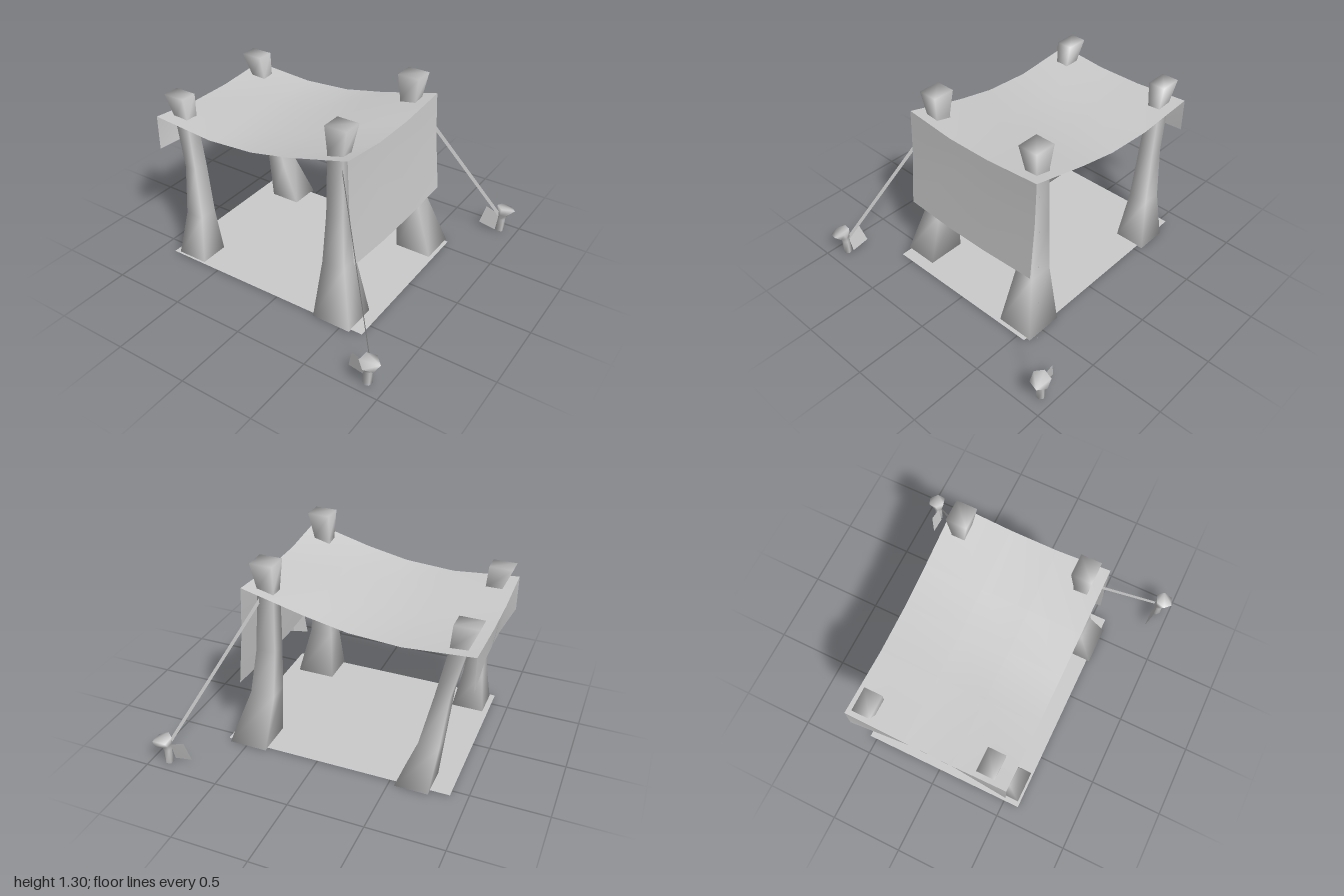
import * as THREE from 'three';

const canvasGrey = new THREE.MeshStandardMaterial({ color: 0xcccccc, side: THREE.DoubleSide });
canvasGrey.name = 'plain grey';

function build(name, points, index) {
  const g = new THREE.BufferGeometry();
  g.setAttribute('position', new THREE.Float32BufferAttribute(points.flat(), 3));
  g.setIndex(index);
  g.computeVertexNormals();
  const mesh = new THREE.Mesh(g, canvasGrey);
  mesh.name = name;
  return mesh;
}

// Closed solid through rings listed from bottom to top, counterclockwise from above
function loft(name, rings) {
  const n = rings[0].length, last = (rings.length - 1) * n, index = [];
  for (let i = 0; i < rings.length - 1; i++) {
    for (let j = 0; j < n; j++) {
      const a = i * n + j, b = i * n + (j + 1) % n;
      index.push(a, b, b + n, a, b + n, a + n);
    }
  }
  for (let j = 1; j < n - 1; j++) {
    index.push(0, j + 1, j, last, last + j, last + j + 1);
  }
  return build(name, rings.flat(), index);
}

// Open sheet through rows of points
function sheet(name, rows) {
  const n = rows[0].length, index = [];
  for (let i = 0; i < rows.length - 1; i++) {
    for (let j = 0; j < n - 1; j++) {
      const a = i * n + j;
      index.push(a, a + 1, a + n + 1, a, a + n + 1, a + n);
    }
  }
  return build(name, rows.flat(), index);
}

// Four-sided post; each level is [y, xMin, xMax, zMin, zMax]
const post = (name, levels) => loft(name, levels.map(([y, x0, x1, z0, z1]) =>
  [[x0, y, z1], [x1, y, z1], [x1, y, z0], [x0, y, z0]]));

// Flared six-sided peg leaning outwards
function stake(side) {
  const levels = [[0, 0.029, 0.885, 0.915, 0], [0.1, 0.027, 0.888, 0.915, 0],
    [0.135, 0.036, 0.893, 0.92, 0.15], [0.182, 0.064, 0.908, 0.935, 0.22]];
  return loft('stake', levels.map(([y, r, cx, cz, tilt]) =>
    Array.from({ length: 6 }, (_, k) => {
      const a = k * Math.PI / 3 + 0.35;
      const dx = r * Math.cos(a), dz = -r * Math.sin(a);
      return [cx + dx, y - tilt * (dx + side * dz), side * cz + dz];
    })));
}

export function createModel() {
  const model = new THREE.Group();
  model.name = 'canopyShelter';

  // Ground sheet
  model.add(sheet('groundSheet', [
    [[-0.885, 0.005, 0.605], [0.65, 0.005, 0.6]],
    [[-0.89, 0.005, -0.55], [0.645, 0.005, -0.56]],
  ]));

  // Posts
  model.add(post('leftFrontPost', [
    [0, -0.85, -0.63, 0.38, 0.59], [0.3, -0.825, -0.69, 0.38, 0.51],
    [0.65, -0.825, -0.74, 0.37, 0.48], [0.98, -0.9, -0.795, 0.365, 0.455],
    [1.14, -0.965, -0.81, 0.35, 0.465]]));
  model.add(post('leftBackPost', [
    [0, -0.76, -0.54, -0.59, -0.37], [0.3, -0.79, -0.655, -0.51, -0.37],
    [0.65, -0.825, -0.73, -0.47, -0.36], [0.98, -0.9, -0.795, -0.445, -0.355],
    [1.14, -0.965, -0.81, -0.455, -0.335]]));
  model.add(post('rightFrontPost', [
    [0, 0.3, 0.57, 0.38, 0.62], [0.37, 0.305, 0.465, 0.385, 0.52],
    [0.7, 0.31, 0.43, 0.385, 0.485], [1.12, 0.31, 0.42, 0.385, 0.475],
    [1.3, 0.3, 0.45, 0.355, 0.49]]));
  model.add(post('rightBackPost', [
    [0, 0.36, 0.62, -0.585, -0.325], [0.37, 0.33, 0.495, -0.485, -0.35],
    [0.7, 0.315, 0.445, -0.465, -0.36], [1.12, 0.31, 0.42, -0.455, -0.365],
    [1.3, 0.3, 0.45, -0.48, -0.34]]));

  // Canopy: sagging in the middle, with corners pulled up; columns run front to back
  const zs = [0.545, 0.19, -0.13, -0.522];
  const lift = [1, 0, 0, 0.8];
  const spans = [[-0.975, 0.975, 0.035], [-0.53, 0.97, 0], [-0.2, 0.99, 0],
    [0.08, 1.045, 0], [0.495, 1.115, 0.04]];
  model.add(sheet('canopy', spans.map(([x, y, up]) =>
    zs.map((z, j) => [x, y + up * lift[j], z]).reverse()).reverse()));

  // Long side curtain
  model.add(sheet('sideCurtain', [
    zs.map((z, j) => [0.495, 1.115 + 0.04 * lift[j], z]),
    zs.map((z) => [0.51, 0.85, z]),
    zs.map((z, j) => [0.55, 0.432 + 0.023 * lift[j], z]),
  ].reverse()));

  // Short valance in two halves with a slit between them
  const valance = (name, ends) => sheet(name, [
    ends.map(([z, up]) => [-0.975, 0.975 + 0.035 * up, z]),
    ends.map(([z, up, gap]) => [up ? -0.975 : -0.945, 0.77, z + gap]),
  ]);
  model.add(valance('frontValance', [[0.02, 0, 0.015], [0.19, 0, 0], [0.545, 1, 0]]));
  model.add(valance('backValance', [[-0.522, 0.8, 0], [-0.13, 0, 0], [0.02, 0, -0.015]]));

  for (const s of [1, -1]) {
    // Peg with its small tag
    model.add(stake(s));
    model.add(sheet('stakeTag', [
      [[0.735, 0.03, s * 0.882], [0.86, 0.008, s * 0.882]],
      [[0.77, 0.165, s * 0.905], [0.87, 0.13, s * 0.905]],
    ]));
    // Flat guy rope from post to peg
    const w = 0.02;
    model.add(sheet('guyRope', [
      [[0.405, 1.05 - w, s * 0.465], [0.875, 0.15 - w, s * 0.88]],
      [[0.405, 1.05 + w, s * 0.465], [0.875, 0.15 + w, s * 0.88]],
    ]));
  }
  return model;
}
